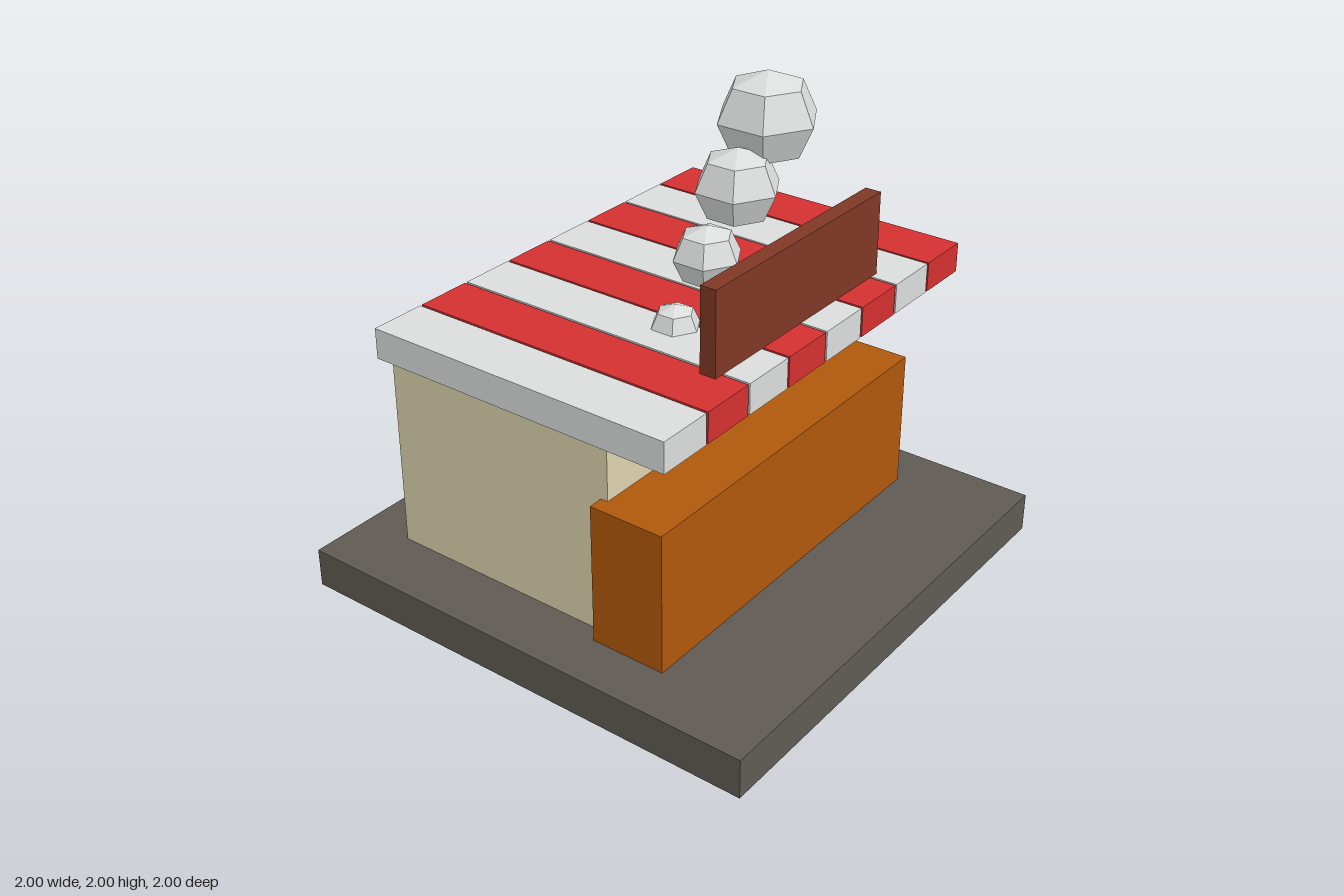
import * as THREE from 'three';

const material = (name, color) => {
  const m = new THREE.MeshStandardMaterial({ color, flatShading: true });
  m.name = name;
  return m;
};

export function createModel() {
  const model = new THREE.Group();
  model.name = 'marketStall';

  const stone = material('dark stone', 0x5f5a53);
  const cream = material('cream', 0xdcd2ae);
  const wood = material('orange wood', 0xb0580c);
  const red = material('red', 0xd43030);
  const white = material('off white', 0xdadddc);
  const brown = material('dark brown', 0x7f3825);

  const add = (name, geometry, mat, x, y, z) => {
    const mesh = new THREE.Mesh(geometry, mat);
    mesh.name = name;
    mesh.position.set(x, y, z);
    model.add(mesh);
    return mesh;
  };

  // Box given by its centre x, width, and y and z ranges
  const box = (name, mat, x, w, y0, y1, z0, z1) =>
    add(name, new THREE.BoxGeometry(w, y1 - y0, z1 - z0), mat, x, (y0 + y1) / 2, (z0 + z1) / 2);

  box('base', stone, 0, 2, 0, 0.16, -1, 1);
  box('stallBody', cream, 0, 1.47, 0.16, 0.99, -0.78, 0.24);
  box('counter', wood, 0, 1.59, 0.16, 0.73, 0.21, 0.52);
  box('signBoard', brown, 0, 1.02, 1.14, 1.54, 0.465, 0.53);

  // Awning of eight alternating slabs with narrow gaps
  for (let i = 0; i < 8; i++) {
    box(`awningStripe${i + 1}`, i % 2 ? red : white, (i - 3.5) * 0.2345, 0.225, 1.09, 1.21, -0.64, 0.64);
  }

  // Smoke puffs rising to the left, slightly flattened: x, y, radius
  const puffs = [[-0.275, 1.205, 0.096], [-0.09, 1.41, 0.132], [0.09, 1.615, 0.166], [0.27, 1.823, 0.198]];
  puffs.forEach(([x, y, r], i) => {
    const geometry = new THREE.SphereGeometry(r, 6, 4).rotateY(Math.PI / 2).scale(1, 0.9, 1);
    add(`smokePuff${i + 1}`, geometry, white, x, y, 0.185);
  });

  return model;
}
